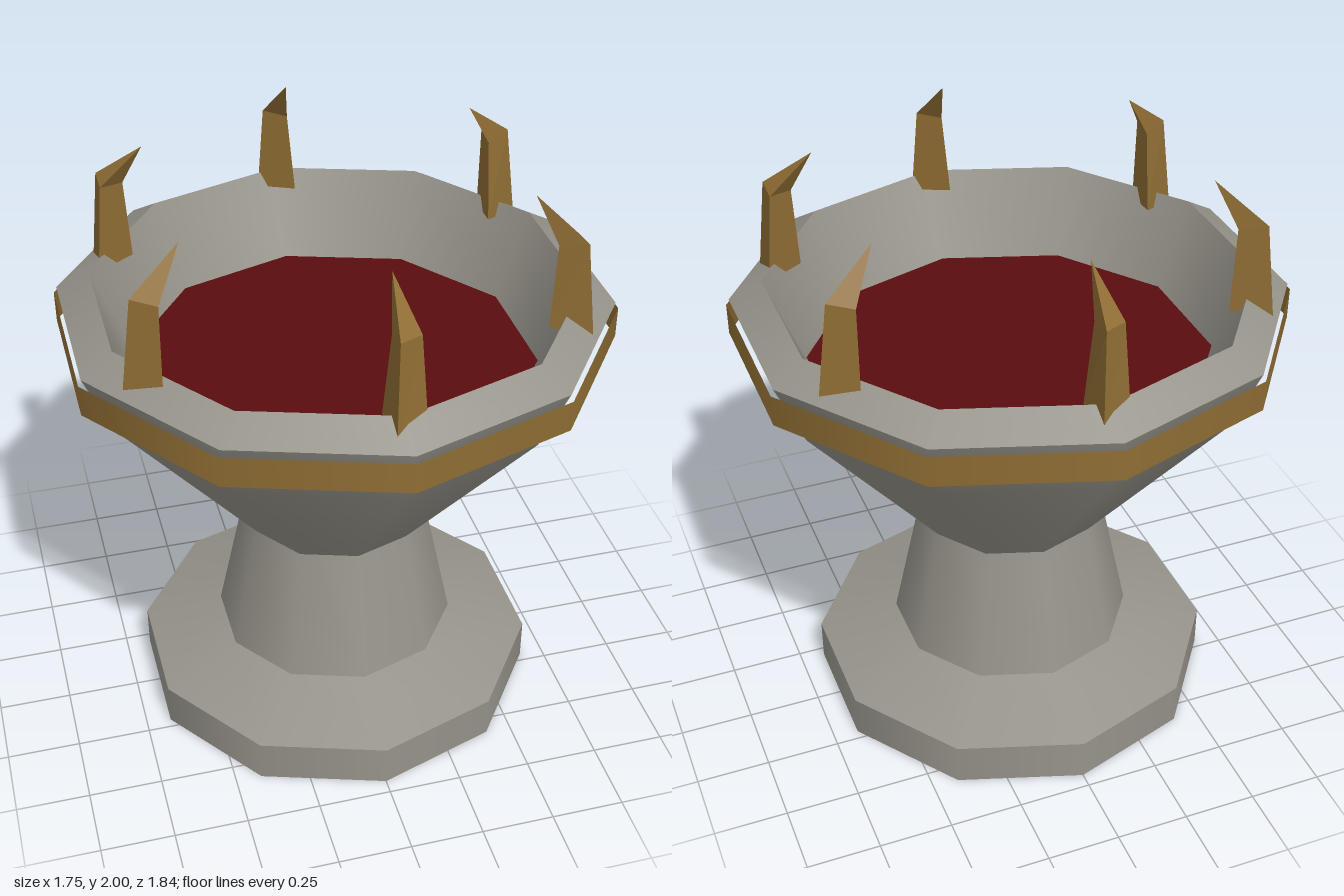
import * as THREE from 'three';

const SIDES = 10;

export function createModel() {
  const group = new THREE.Group();
  const stone = new THREE.MeshStandardMaterial({ color: 0x96938a });
  stone.name = 'grey stone';
  const gold = new THREE.MeshStandardMaterial({ color: 0x8f6d34, side: THREE.DoubleSide });
  gold.name = 'old gold';
  const red = new THREE.MeshStandardMaterial({ color: 0x5a0d0f });
  red.name = 'dark red liquid';
  // claws share the gold, faceted by their unshared corners

  const add = (name, geometry, material) => {
    const mesh = new THREE.Mesh(geometry, material);
    mesh.name = name;
    group.add(mesh);
    return mesh;
  };
  // ten-sided turned section from [radius, height] pairs
  const turned = (name, profile, material) =>
    add(name, new THREE.LatheGeometry(profile.map(p => new THREE.Vector2(...p)), SIDES), material);

  // foot and stem
  turned('footUnderside', [[0, 0], [0.70, 0]], stone);
  turned('footSide', [[0.70, 0], [0.70, 0.15]], stone);
  turned('footSlope', [[0.70, 0.15], [0.42, 0.235]], stone);
  turned('stem', [[0.42, 0.235], [0.32, 0.705]], stone);

  // bowl, lip and inner wall
  turned('bowl', [[0.32, 0.705], [0.81, 1.32], [0.91, 1.55]], stone);
  turned('lip', [[0.91, 1.55], [0.80, 1.615]], stone);
  turned('innerWall', [[0.80, 1.615], [0.675, 1.32]], stone);
  turned('liquid', [[0.675, 1.32], [0, 1.32]], red);

  // band around the rim
  turned('rimBand', [[0.92, 1.425], [0.92, 1.53]], gold);

  // six three-sided claws bending inward over the bowl
  const base = [[-0.04, 1.55, 0.85], [0.073, 1.56, 0.785], [-0.045, 1.57, 0.71]];
  const bend = [[-0.025, 1.87, 0.81], [0.053, 1.86, 0.765], [-0.022, 1.85, 0.717]];
  const tip = [0, 2, 0.633];
  const corners = [base[0], base[2], base[1]];
  for (let i = 0; i < 3; i++) {
    const j = (i + 1) % 3;
    corners.push(base[i], base[j], bend[j], base[i], bend[j], bend[i], bend[i], bend[j], tip);
  }
  const clawGeometry = new THREE.BufferGeometry();
  clawGeometry.setAttribute('position', new THREE.Float32BufferAttribute(corners.flat(), 3));
  clawGeometry.computeVertexNormals();
  for (let i = 0; i < 6; i++) {
    add('claw' + (i + 1), clawGeometry, gold).rotation.y = i * Math.PI / 3;
  }

  return group;
}
